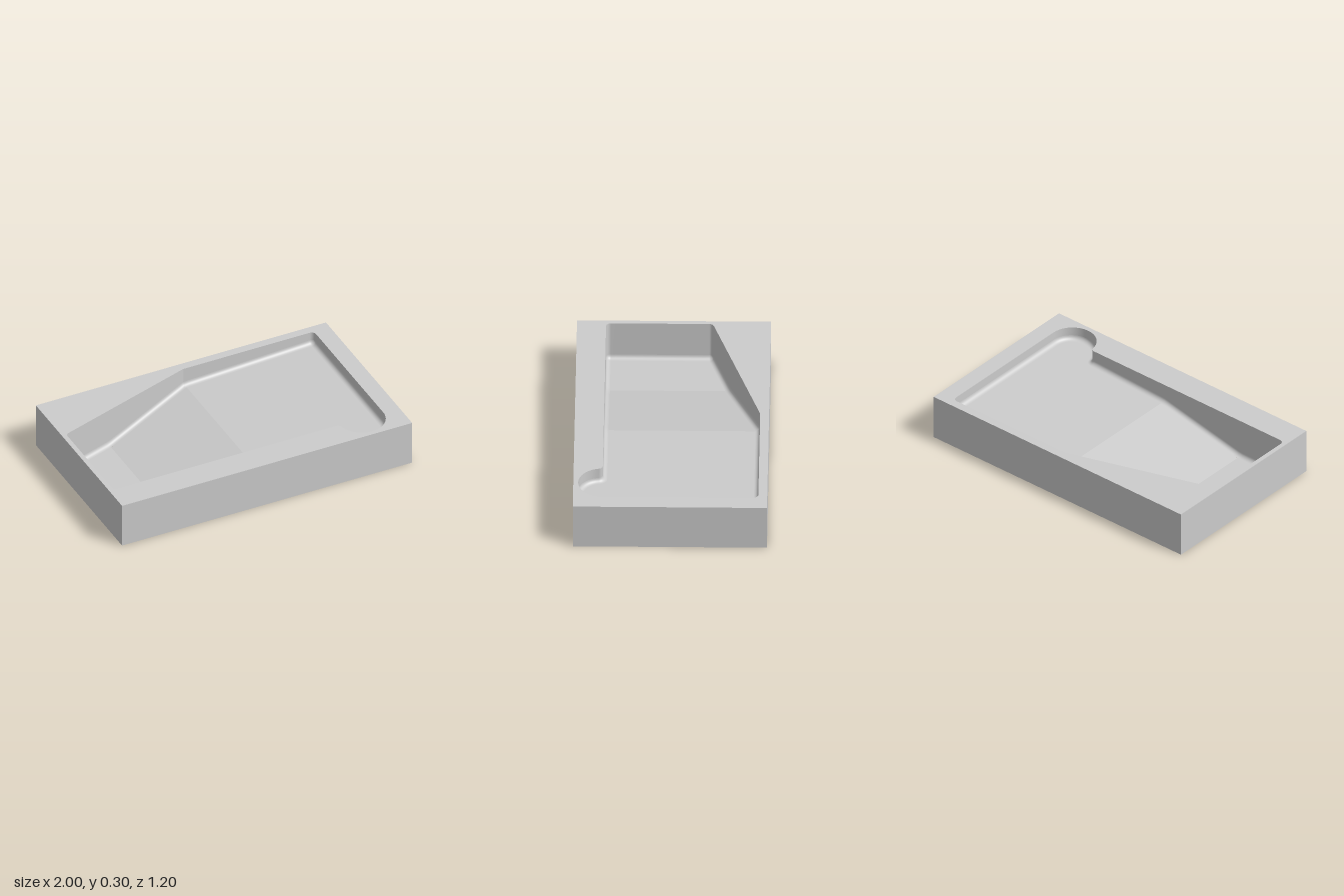
import * as THREE from 'three';

const TOP = 0.3, FILLET = 0.028;
const material = new THREE.MeshStandardMaterial({ color: 0xcccccc });

// Height of the pocket floor along x: deep flat end, ramp, shallow end
const floorProfile = [[-1, 0.037], [-0.62, 0.04], [0, 0.175], [1, 0.222]];
function floorHeight(x) {
  let i = 0;
  while (i < floorProfile.length - 2 && x > floorProfile[i + 1][0]) i++;
  const [x0, y0] = floorProfile[i], [x1, y1] = floorProfile[i + 1];
  return y0 + (y1 - y0) * (x - x0) / (x1 - x0);
}

// Pocket outline as arcs joined by tangent lines: centre x, centre z, radius,
// start and end angle of the outward normal (a negative radius bends inwards)
const arcs = [
  [0.74, 0.42, 0.15, 0, 170.4],
  [0.5625, 0.45, -0.03, 170.4, 90],
  [-0.94, 0.39, 0.03, 90, 180],
  [-0.94, -0.218, 0.03, 180, 252.4],
  [-0.007, -0.515, 0.03, 252.4, 270],
  [0.86, -0.515, 0.03, 270, 360],
];

function pocketOutline() {
  const points = [];
  for (const [cx, cz, r, a0, a1] of arcs) {
    const steps = Math.abs(r) > 0.1 ? 32 : 10;
    for (let i = 0; i <= steps; i++) {
      const a = THREE.MathUtils.degToRad(a0 + (a1 - a0) * i / steps);
      const nx = Math.cos(a), nz = Math.sin(a);
      points.push({ x: cx + r * nx, z: cz + r * nz, nx, nz });
    }
  }
  // Subdivide the long straight walls so they can follow the floor
  const dense = [];
  points.forEach((p, i) => {
    const q = points[(i + 1) % points.length];
    const length = Math.hypot(q.x - p.x, q.z - p.z);
    if (length < 1e-4) return;
    const parts = Math.max(1, Math.round(length / 0.03));
    for (let k = 0; k < parts; k++) {
      const t = k / parts;
      dense.push({ x: p.x + (q.x - p.x) * t, z: p.z + (q.z - p.z) * t, nx: p.nx, nz: p.nz });
    }
  });
  return dense;
}

const inset = (outline, d) =>
  outline.map((p) => new THREE.Vector2(p.x - p.nx * d, p.z - p.nz * d));

// Skin of quads through closed rings, listed from top to bottom
function skin(rings) {
  const n = rings[0].length, index = [];
  for (let r = 0; r < rings.length - 1; r++) {
    for (let i = 0; i < n; i++) {
      const a = r * n + i, b = r * n + (i + 1) % n;
      index.push(a, a + n, b, b, a + n, b + n);
    }
  }
  const geometry = new THREE.BufferGeometry();
  geometry.setAttribute('position', new THREE.Float32BufferAttribute(rings.flat(2), 3));
  geometry.setIndex(index);
  geometry.computeVertexNormals();
  return geometry;
}

// Keep the part of a polygon where side * (x - limit) >= 0
function clip(polygon, limit, side) {
  const result = [];
  polygon.forEach((p, i) => {
    const q = polygon[(i + 1) % polygon.length];
    const dp = side * (p.x - limit), dq = side * (q.x - limit);
    if (dp >= 0) result.push(p);
    if (dp * dq < 0) result.push(p.clone().lerp(q, dp / (dp - dq)));
  });
  return result;
}

// Horizontal face from (x, z) polygons, facing up
const flip = (points) => points.map((p) => new THREE.Vector2(p.x, -p.y));
function flatFace(polygon, hole) {
  const shape = new THREE.Shape(flip(polygon));
  if (hole) shape.holes.push(new THREE.Path(flip(hole)));
  return new THREE.ShapeGeometry(shape).rotateX(-Math.PI / 2);
}

export function createModel() {
  const group = new THREE.Group();
  const add = (name, geometry) => {
    const mesh = new THREE.Mesh(geometry, material);
    mesh.name = name;
    group.add(mesh);
  };
  const outline = pocketOutline();

  // Outer sides and bottom: a box without its top face
  const block = new THREE.BoxGeometry(2, TOP, 1.2).translate(0, TOP / 2, 0);
  block.setIndex([...block.index.array].filter((_, i) => i < 12 || i >= 18));
  block.clearGroups();
  add('block', block);

  // Top rim around the pocket
  const corners = [[-1, -0.6], [1, -0.6], [1, 0.6], [-1, 0.6]].map((c) => new THREE.Vector2(...c));
  add('rim', flatFace(corners, inset(outline, 0)).translate(0, TOP, 0));

  // Upright pocket walls
  const edge = inset(outline, 0);
  add('pocketWall', skin([
    edge.map((p) => [p.x, TOP, p.y]),
    edge.map((p) => [p.x, floorHeight(p.x) + FILLET, p.y]),
  ]));

  // Rounded transition from walls to floor
  const rings = [];
  for (let i = 0; i <= 8; i++) {
    const a = i / 8 * Math.PI / 2;
    rings.push(inset(outline, FILLET * (1 - Math.cos(a)))
      .map((p) => [p.x, floorHeight(p.x) + FILLET * (1 - Math.sin(a)), p.y]));
  }
  add('pocketFillet', skin(rings));

  // Floor in three planes
  const base = inset(outline, FILLET);
  ['deepFloor', 'rampFloor', 'shallowFloor'].forEach((name, i) => {
    const strip = clip(clip(base, floorProfile[i][0], 1), floorProfile[i + 1][0], -1);
    const geometry = flatFace(strip);
    const position = geometry.attributes.position;
    for (let k = 0; k < position.count; k++) position.setY(k, floorHeight(position.getX(k)));
    geometry.computeVertexNormals();
    add(name, geometry);
  });

  return group;
}
